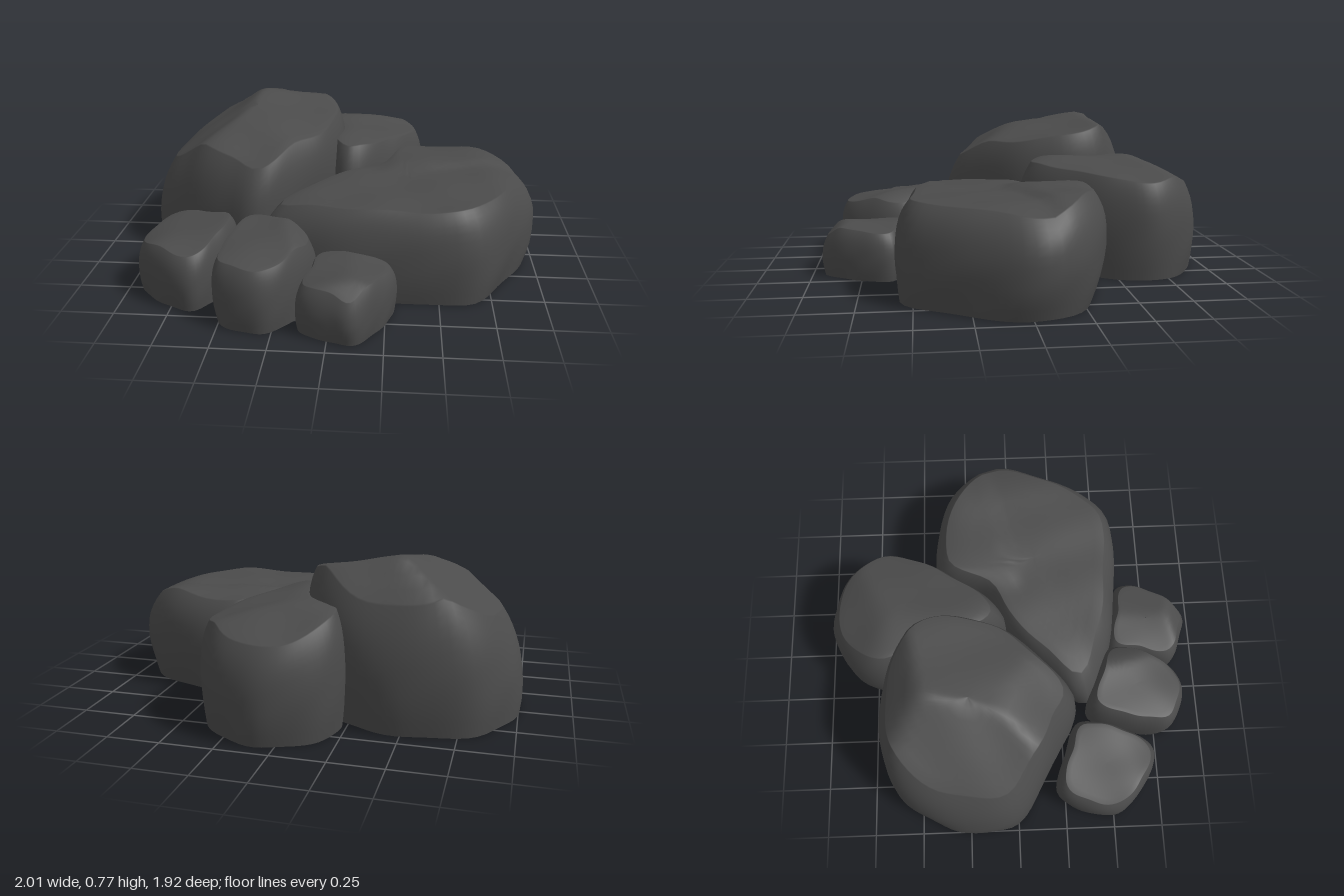
import * as THREE from 'three';

const stone = new THREE.MeshStandardMaterial({ color: 0x4b4b4b });
stone.name = 'dark stone';

const BASE = 0.01;
const SEGMENTS = 64;
const WALL_RINGS = 12;
const CAP_RINGS = 8;

// Rings as { level, scale }: flat underside, bulging wall with a rounded shoulder, then the top
function makeRings() {
  const rings = [{ level: 0, scale: 0.001 }, { level: 0, scale: 0.94 }];
  for (let i = 0; i <= WALL_RINGS; i++) {
    const level = Math.sin((i / WALL_RINGS) * Math.PI / 2);
    rings.push({ level, scale: 1 - 0.06 * (1 - 2 * level) ** 2 - 0.09 * level ** 8 });
  }
  for (let i = 1; i <= CAP_RINGS; i++) {
    rings.push({ level: 1, scale: Math.max(0.85 * (1 - i / CAP_RINGS), 0.001) });
  }
  return rings;
}

// Soft minimum of the cutting planes y = h + sx * x + sz * z, with faint lumps
function cutHeight(planes, x, z) {
  const k = 0.01;
  const sum = planes.reduce((s, [h, sx, sz]) => s + Math.exp(-(h + sx * x + sz * z) / k), 0);
  return -k * Math.log(sum) + 0.006 * Math.sin(13 * x + 5 * z) * Math.sin(11 * z - 4 * x + 1);
}

// Slab raised behind a crack across the top of the wide boulder
function crackLedge(x, z) {
  const { smoothstep } = THREE.MathUtils;
  return 0.02 * smoothstep(-z - 0.25 * (x - 0.4), -0.03, 0.04) * smoothstep(x, 0.15, 0.3);
}

// A rock from its plan outline (x, z), clockwise from above, and the planes that cut its top.
// lean shifts the top against the bottom along x and z.
function makeRock(name, outline, planes, { lean = [0, 0], ledge = () => 0 } = {}) {
  const curve = new THREE.CatmullRomCurve3(outline.map(([x, z]) => new THREE.Vector3(x, 0, z)), true);
  const rim = curve.getSpacedPoints(SEGMENTS).slice(0, SEGMENTS);
  const centre = rim.reduce((c, p) => c.add(p), new THREE.Vector3()).divideScalar(SEGMENTS);
  const positions = [];
  const index = [];
  makeRings().forEach(({ level, scale }, r) => {
    rim.forEach((p, i) => {
      // uneven walls, fading out at mid height
      const chip = 1 + 0.03 * Math.abs(level - 0.5) * Math.sin(i * Math.PI / 4 + level * 4);
      const x = centre.x + (p.x - centre.x) * scale * chip + lean[0] * (level - 0.5);
      const z = centre.z + (p.z - centre.z) * scale * chip + lean[1] * (level - 0.5);
      const top = cutHeight(planes, x, z) + ledge(x, z);
      positions.push(x, BASE + level * (top - BASE), z);
      // rings 1 and 2 coincide, which keeps the bottom edge sharp
      if (r === 0 || r === 2) return;
      const a = (r - 1) * SEGMENTS + i;
      const b = (r - 1) * SEGMENTS + (i + 1) % SEGMENTS;
      index.push(b, a, a + SEGMENTS, b, a + SEGMENTS, b + SEGMENTS);
    });
  });
  const geometry = new THREE.BufferGeometry();
  geometry.setAttribute('position', new THREE.Float32BufferAttribute(positions, 3));
  geometry.setIndex(index);
  geometry.computeVertexNormals();
  const mesh = new THREE.Mesh(geometry, stone);
  mesh.name = name;
  return mesh;
}

export function createModel() {
  const group = new THREE.Group();
  group.name = 'rockCluster';

  // Three large boulders
  group.add(makeRock('tallBoulder',
    [[-1, -0.22], [-0.94, -0.44], [-0.8, -0.62], [-0.47, -0.7], [-0.25, -0.65], [-0.06, -0.52], [-0.01, -0.35],
      [-0.04, -0.12], [-0.15, 0.06], [-0.42, 0.31], [-0.58, 0.24], [-0.78, 0.13], [-0.97, -0.01]],
    [[0.62, -0.17, -0.18], [1.08, 0.66, 0], [1.27, 0, 1.07], [0.71, 0.05, -0.6]],
    { lean: [0.07, 0] }));
  group.add(makeRock('wideBoulder',
    [[0.34, -0.39], [0.7, -0.35], [0.91, -0.22], [1, -0.02], [0.9, 0.23], [0.69, 0.54], [0.5, 0.58], [0.2, 0.56],
      [-0.1, 0.51], [-0.37, 0.38], [-0.22, 0.18], [0.02, -0.03], [0.2, -0.13]],
    [[0.46, 0.03, -0.03], [0.755, -0.35, 0], [0.485, 0.3, 0], [0.61, 0, 0.4]],
    { lean: [0, -0.03], ledge: crackLedge }));
  group.add(makeRock('backBoulder',
    [[0.05, -0.96], [0.2, -0.93], [0.33, -0.85], [0.43, -0.65], [0.28, -0.3], [0.03, -0.03], [-0.07, -0.15],
      [-0.12, -0.4], [-0.25, -0.65], [-0.18, -0.84]],
    [[0.59, -0.25, 0], [0.58, 0.12, 0], [0.92, 0, 0.52], [0.52, 0, -0.35]]));

  // Three small stones along the front
  group.add(makeRock('rightStone',
    [[-0.82, 0.2], [-0.64, 0.25], [-0.49, 0.32], [-0.57, 0.65], [-0.65, 0.72], [-0.94, 0.52], [-0.9, 0.28]],
    [[0.41, 0.1, -0.05], [0.63, 0.4, 0], [0.52, 0, -0.35]]));
  group.add(makeRock('middleStone',
    [[-0.42, 0.38], [-0.28, 0.42], [-0.08, 0.52], [-0.18, 0.8], [-0.3, 0.89], [-0.51, 0.81], [-0.52, 0.66]],
    [[0.49, 0.15, -0.12], [0.23, -0.8, 0], [0.55, 0, -0.28]]));
  group.add(makeRock('frontStone',
    [[-0.07, 0.52], [0.12, 0.55], [0.29, 0.59], [0.29, 0.69], [0.12, 0.95], [0.02, 0.93], [-0.14, 0.85], [-0.11, 0.67]],
    [[0.265, 0.2, 0], [0.31, -0.25, 0], [1.04, 0, -0.9]]));
  return group;
}
